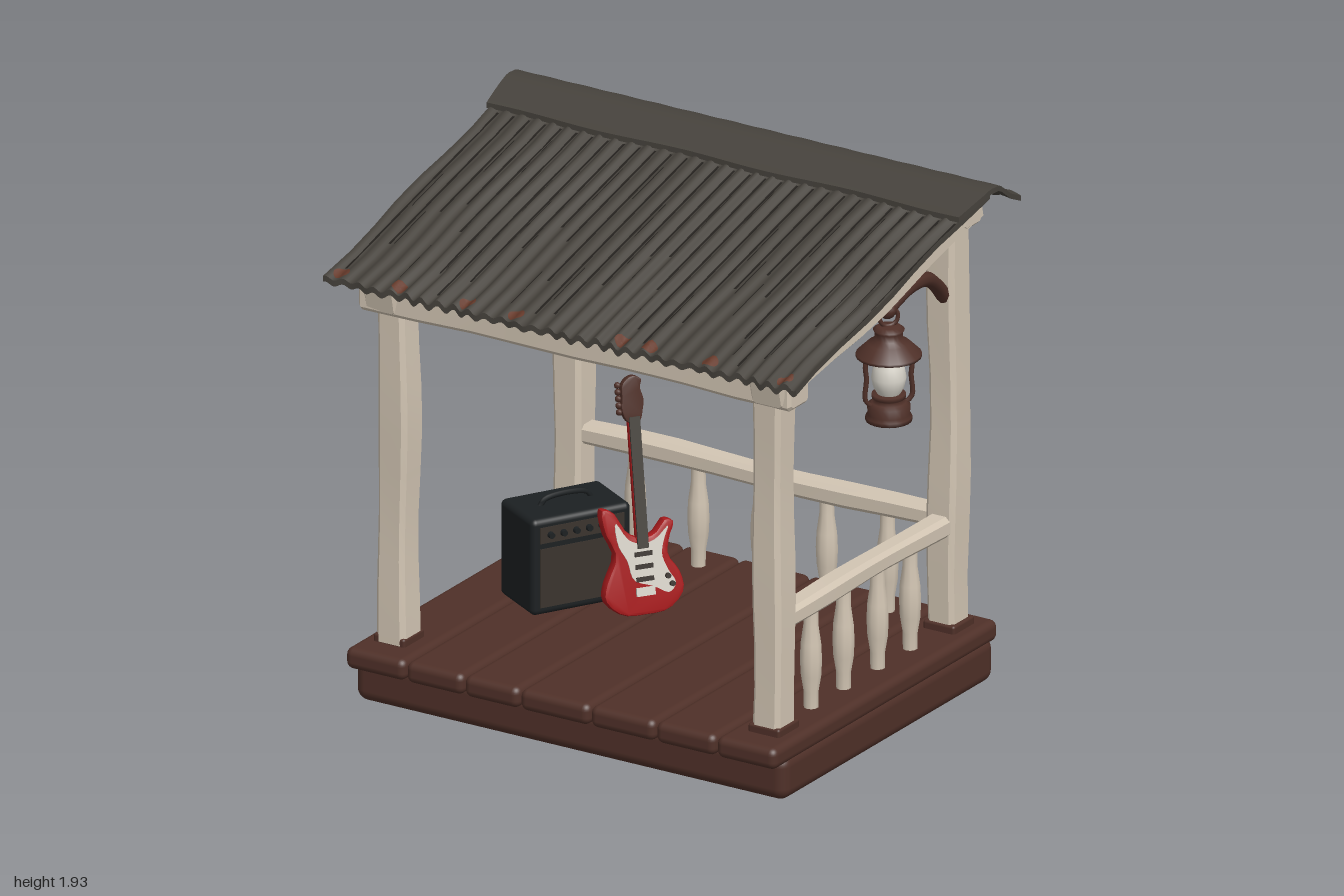
import * as THREE from 'three';
import { toCreasedNormals } from 'three/addons/utils/BufferGeometryUtils.js';
import { RoundedBoxGeometry } from 'three/addons/geometries/RoundedBoxGeometry.js';

const mat = (name, color, side = THREE.FrontSide) => {
  const m = new THREE.MeshStandardMaterial({ color, side });
  m.name = name;
  return m;
};
const V = (x, y, z) => new THREE.Vector3(x, y, z);

function add(parent, name, geo, material, x = 0, y = 0, z = 0) {
  const m = new THREE.Mesh(geo, material);
  m.name = name;
  m.position.set(x, y, z);
  parent.add(m);
  return m;
}

// Apply a rule to every vertex
function bend(geo, rule) {
  const p = geo.attributes.position, v = new THREE.Vector3();
  for (let i = 0; i < p.count; i++) {
    rule(v.fromBufferAttribute(p, i));
    p.setXYZ(i, v.x, v.y, v.z);
  }
  geo.computeVertexNormals();
  return geo;
}

// Hand-hewn chamfered timber along z, centred
function timber(len, w, h, seed = 0) {
  const c = 0.016, a = w / 2, b = h / 2, e = 0.012;
  const s = new THREE.Shape([[-a + c, -b], [a - c, -b], [a, -b + c], [a, b - c], [a - c, b], [-a + c, b], [-a, b - c], [-a, -b + c]]
    .map(([x, y]) => new THREE.Vector2(x, y)));
  const g = new THREE.ExtrudeGeometry(s, { depth: len - 2 * e, steps: 8, bevelThickness: e, bevelSize: e, bevelOffset: -e, bevelSegments: 1 });
  g.translate(0, 0, -len / 2 + e);
  bend(g, v => {
    const k = 1 + 0.05 * Math.sin(v.z * 8 + seed);
    v.x = v.x * k + 0.004 * Math.sin(v.z * 6 + seed * 2);
    v.y = v.y * k + 0.004 * Math.cos(v.z * 5 + seed * 3);
  });
  return toCreasedNormals(g, 0.5);
}

// Closed smooth outline extruded to a plate
function plate(points, depth, bevel = 0) {
  const s = new THREE.Shape(new THREE.CatmullRomCurve3(points.map(([x, y]) => V(x, y, 0)), true).getPoints(48).slice(0, -1)
    .map(p => new THREE.Vector2(p.x, p.y)));
  return toCreasedNormals(new THREE.ExtrudeGeometry(s, { depth, bevelEnabled: bevel > 0, bevelSize: bevel, bevelThickness: bevel, bevelOffset: -bevel, bevelSegments: 2 }), 0.7);
}

const lathe = (pts, n = 20) => new THREE.LatheGeometry(pts.map(([r, y]) => new THREE.Vector2(r, y)), n);

// Heights of the corrugated sheet and of the ridge cap
const PITCH = 0.065;
const sheetY = (x, z) => 1.767 - 0.252 * z + (0.009 + 0.003 * Math.sin(x * 9)) * Math.sin(x * 2 * Math.PI / PITCH);
const capPts = [[-0.33, 1.873], [-0.42, 1.9], [-0.5, 1.922], [-0.56, 1.918], [-0.65, 1.855], [-0.73, 1.82]];
function capY(x, z) {
  let i = 0;
  while (i < capPts.length - 2 && z < capPts[i + 1][0]) i++;
  const [z0, y0] = capPts[i], [z1, y1] = capPts[i + 1];
  const back = Math.max(0, (-z - 0.55) / 0.18);
  return y0 + (y1 - y0) * (z - z0) / (z1 - z0) + back * 0.008 * Math.sin(x * 42);
}

export function createModel() {
  const root = new THREE.Group();
  const cream = mat('cream timber', 0xd2c5b3), brown = mat('brown wood', 0x4f3028), iron = mat('roof metal', 0x46423c);
  const dark = mat('dark seam', 0x23201d, THREE.DoubleSide), rust = mat('rust', 0x65392a, THREE.DoubleSide);
  const black = mat('amp black', 0x1c2022), cloth = mat('grille cloth', 0x3a332d);
  const red = mat('guitar red', 0xa81a1c), pale = mat('pickguard and glass', 0xd8d4ca);

  // Platform and deck boards
  add(root, 'base', new RoundedBoxGeometry(1.78, 0.17, 1.365, 4, 0.045), brown, 0, 0.085, -0.018);
  const cuts = [-0.89, -0.64, -0.4, -0.17, 0.12, 0.39, 0.64, 0.89];
  for (let i = 0; i < 7; i++)
    add(root, 'deckBoard', new RoundedBoxGeometry(cuts[i + 1] - cuts[i] - 0.004, 0.08, 1.45, 3, 0.028), brown, (cuts[i] + cuts[i + 1]) / 2, 0.18, 0);

  // Posts, side beams and curved brackets, both sides
  for (const s of [-1, 1]) {
    for (const [z, top, seed] of [[0.55, 1.49, 1], [-0.58, 1.76, 3]]) {
      add(root, 'post', timber(top - 0.21, 0.115, 0.122, seed + s).rotateX(-Math.PI / 2), cream, s * 0.773, (top + 0.21) / 2, z);
      add(root, 'postFoot', new RoundedBoxGeometry(0.13, 0.04, 0.135, 2, 0.01), brown, s * 0.773, 0.23, z);
    }
    add(root, 'sideBeam', timber(1.33, 0.14, 0.132, s), cream, s * 0.8, 1.66, -0.005).rotation.x = Math.atan(0.222);
    const path = new THREE.CatmullRomCurve3([V(0.785, 1.475, -0.53), V(0.8, 1.54, -0.46), V(0.82, 1.605, -0.36), V(0.84, 1.63, -0.22), V(0.845, 1.615, -0.13), V(0.845, 1.595, -0.07)]
      .map(p => p.setX(p.x * s)));
    add(root, 'bracket', new THREE.TubeGeometry(path, 24, 0.027, 8), brown);
    add(root, 'bracketTip', new THREE.SphereGeometry(0.033, 12, 8), brown, s * 0.845, 1.595, -0.07);
  }
  add(root, 'frontBeam', timber(1.78, 0.13, 0.118, 2).rotateY(Math.PI / 2), cream, 0, 1.517, 0.565);
  add(root, 'backBeam', timber(1.74, 0.13, 0.11, 4).rotateY(Math.PI / 2), cream, 0, 1.787, -0.585);

  // Railings and balusters
  add(root, 'backRail', timber(1.46, 0.085, 0.075, 5).rotateY(Math.PI / 2), cream, 0, 0.62, -0.58);
  add(root, 'sideRail', timber(1.03, 0.085, 0.075, 6), cream, 0.773, 0.62, -0.015);
  const baluster = lathe([[0.026, 0.21], [0.027, 0.28], [0.037, 0.34], [0.04, 0.4], [0.037, 0.46], [0.027, 0.53], [0.026, 0.59]], 10);
  for (const x of [-0.52, -0.26, 0, 0.27, 0.52]) add(root, 'baluster', baluster, cream, x, 0, -0.58);
  for (const z of [0.31, 0.1, -0.12, -0.33]) add(root, 'baluster', baluster, cream, 0.773, 0, z);

  // Corrugated roof sheet
  const roof = new THREE.Group();
  roof.name = 'roof';
  root.add(roof);
  add(roof, 'roofSheet', bend(new THREE.BoxGeometry(1.94, 0.022, 1.25, 240, 1, 8).translate(0, 0, 0.1), v => {
    const x = v.x;
    v.y += sheetY(x, v.z);
    v.x += 0.008 * Math.sin(v.z * 9) * x;
    if (v.z > 0.7) v.z += 0.006 * Math.sin(x * 31);
  }), iron);
  // Ridge cap
  add(roof, 'ridgeCap', bend(new THREE.BoxGeometry(1.97, 0.02, 0.4, 90, 1, 20).translate(0, 0, -0.53), v => {
    const x = v.x;
    v.y += capY(x, v.z);
    v.x *= 1 + 0.012 * Math.cos(v.z * 12);
    if (v.z > -0.34) v.z += 0.008 * Math.sin(x * 9);
  }), iron);

  // Thin seams and rust patches laid on the metal
  const lay = (name, geo, material, x, z, height, lift) =>
    add(roof, name, bend(geo.rotateX(-Math.PI / 2).translate(x, 0, z), v => { v.y = height(v.x, v.z) + lift; }), material);
  for (let k = -14; k <= 15; k++) {
    const x = (k - 0.25) * PITCH, len = 0.75 + 0.25 * Math.sin(k * 5.3);
    lay('seam', new THREE.PlaneGeometry(0.009, len, 2, 6), dark, x, -0.33 + len / 2, sheetY, 0.013);
    lay('scratch', new THREE.PlaneGeometry(0.005, 0.2, 1, 2), dark, x + 0.025, 0.2 + 0.35 * Math.sin(k * 2.7), sheetY, 0.014);
  }
  const spot = (x, z, rx, rz, height, lift) => lay('rustPatch', new THREE.RingGeometry(0.001, 1, 14, 4).scale(rx, rz, 1), rust, x, z, height, lift);
  for (const x of [-0.92, -0.68, -0.4, -0.2, 0.24, 0.35, 0.6, 0.91]) spot(x, 0.69, 0.03, 0.028, sheetY, 0.015);
  for (const x of [-0.88, -0.76, -0.58, -0.44, -0.1, 0.11, 0.25, 0.42, 0.72, 0.87]) spot(x, -0.69, 0.035, 0.026, capY, 0.013);

  // Lantern hanging from the bracket
  const lamp = new THREE.Group();
  lamp.name = 'lantern';
  lamp.position.set(0.845, 1.18, -0.08);
  root.add(lamp);
  add(lamp, 'lanternBase', lathe([[0, 0], [0.082, 0], [0.082, 0.015], [0.074, 0.025], [0.076, 0.058], [0.06, 0.068], [0.045, 0.075], [0.06, 0.085], [0.06, 0.1], [0, 0.1]]), brown);
  add(lamp, 'lanternGlass', lathe([[0.035, 0.09], [0.055, 0.125], [0.062, 0.16], [0.055, 0.2], [0.04, 0.235]]), pale);
  add(lamp, 'lanternCap', lathe([[0, 0.23], [0.05, 0.23], [0.116, 0.24], [0.116, 0.25], [0.075, 0.29], [0.05, 0.305], [0.05, 0.33], [0.056, 0.34], [0.04, 0.352], [0, 0.355]]), brown);
  add(lamp, 'lanternRing', new THREE.TorusGeometry(0.034, 0.008, 8, 18), brown, 0, 0.385, 0);
  for (const s of [-1, 1])
    add(lamp, 'lanternTube', new THREE.TubeGeometry(new THREE.CatmullRomCurve3([V(0.05, 0.05, 0), V(0.085, 0.08, 0), V(0.082, 0.16, 0), V(0.085, 0.22, 0), V(0.05, 0.27, 0)].map(p => p.multiplyScalar(1).setX(p.x * s))), 16, 0.009, 6), brown);
  lamp.rotation.y = 0.9;

  // Amplifier
  const amp = new THREE.Group();
  amp.name = 'amplifier';
  amp.position.set(-0.495, 0.22, -0.09);
  amp.rotation.y = Math.PI / 3;
  root.add(amp);
  add(amp, 'ampCase', new RoundedBoxGeometry(0.39, 0.36, 0.25, 3, 0.022), black, 0, 0.18, 0);
  add(amp, 'ampGrille', new THREE.BoxGeometry(0.33, 0.22, 0.008), cloth, 0, 0.14, 0.124);
  add(amp, 'controlPanel', new THREE.BoxGeometry(0.33, 0.06, 0.008), cloth, 0, 0.3, 0.124);
  for (let i = 0; i < 6; i++)
    add(amp, 'knob', new THREE.CylinderGeometry(0.011, 0.013, 0.018, 10).rotateX(Math.PI / 2), black, -0.125 + i * 0.05, 0.3, 0.134);
  add(amp, 'ampHandle', new THREE.TubeGeometry(new THREE.CatmullRomCurve3([V(-0.1, 0.355, 0), V(-0.08, 0.38, 0), V(0.08, 0.38, 0), V(0.1, 0.355, 0)]), 16, 0.01, 6), black);

  // Electric guitar leaning back
  const guitar = new THREE.Group();
  guitar.name = 'guitar';
  guitar.position.set(-0.17, 0.225, -0.09);
  guitar.rotation.set(-0.175, 0.96, 0, 'YXZ');
  root.add(guitar);
  add(guitar, 'guitarBody', plate([[0, 0], [0.09, 0.01], [0.147, 0.07], [0.135, 0.14], [0.098, 0.2], [0.105, 0.26], [0.125, 0.315], [0.095, 0.33], [0.05, 0.285], [0, 0.275], [-0.05, 0.3], [-0.1, 0.38], [-0.14, 0.392], [-0.135, 0.31], [-0.1, 0.22], [-0.14, 0.13], [-0.15, 0.07], [-0.09, 0.01]], 0.03, 0.01), red, 0, 0, -0.015);
  add(guitar, 'pickguard', plate([[0.03, 0.1], [0.09, 0.07], [0.115, 0.1], [0.09, 0.15], [0.07, 0.21], [0.085, 0.27], [0.1, 0.305], [0.05, 0.265], [0, 0.255], [-0.05, 0.275], [-0.095, 0.34], [-0.09, 0.26], [-0.06, 0.2], [-0.04, 0.13]], 0.004), pale, 0, 0, 0.025);
  for (const y of [0.13, 0.175, 0.22]) add(guitar, 'pickup', new THREE.BoxGeometry(0.065, 0.016, 0.008), cloth, 0, y, 0.031);
  add(guitar, 'bridge', new THREE.BoxGeometry(0.07, 0.03, 0.01), pale, 0, 0.085, 0.029);
  for (const [x, y] of [[0.085, 0.13], [0.1, 0.1]]) add(guitar, 'guitarKnob', new THREE.CylinderGeometry(0.01, 0.01, 0.012, 10).rotateX(Math.PI / 2), cloth, x, y, 0.034);
  add(guitar, 'neck', new RoundedBoxGeometry(0.044, 0.46, 0.026, 2, 0.009), red, 0, 0.48, 0.017);
  add(guitar, 'fretboard', new THREE.BoxGeometry(0.04, 0.47, 0.008), iron, 0, 0.475, 0.033);
  add(guitar, 'headstock', plate([[-0.02, 0], [0.02, 0], [0.035, 0.04], [0.04, 0.08], [0.03, 0.12], [0.035, 0.15], [0, 0.165], [-0.035, 0.14], [-0.04, 0.09], [-0.042, 0.04]], 0.02, 0.004), brown, 0, 0.69, 0.008);
  for (let i = 0; i < 5; i++)
    add(guitar, 'tuningPeg', new THREE.SphereGeometry(0.012, 8, 6), brown, -0.05, 0.73 + i * 0.024, 0.018);

  return root;
}
